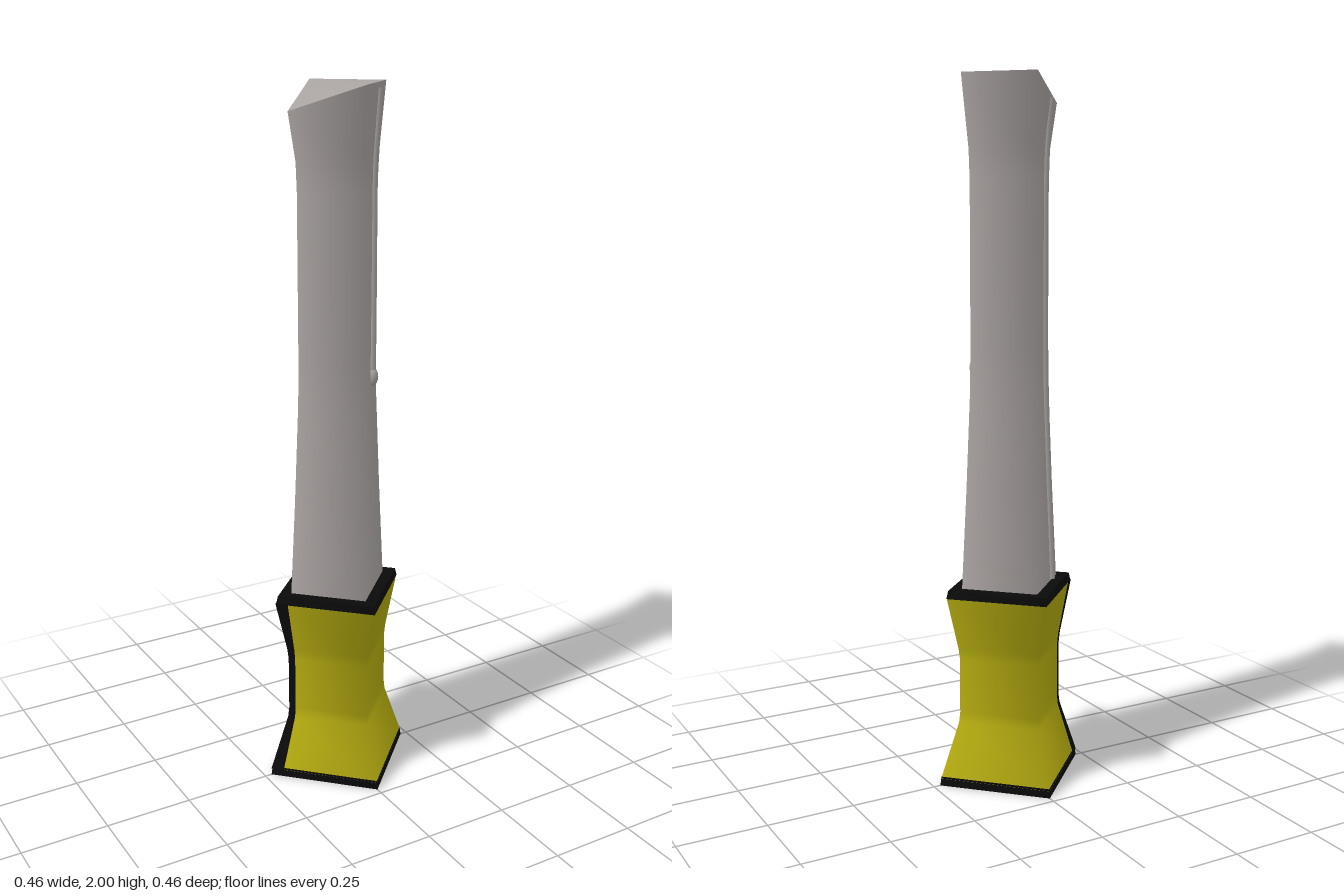
import * as THREE from 'three';

const shaftGrey = new THREE.MeshStandardMaterial({ color: 0xa8a2a0 });
const gripYellow = new THREE.MeshStandardMaterial({ color: 0xb3aa10 });
const trimBlack = new THREE.MeshStandardMaterial({ color: 0x0a0a0a, side: THREE.DoubleSide });

export function createModel() {
  const model = new THREE.Group();

  const add = (name, geometry, material) => {
    const mesh = new THREE.Mesh(geometry, material);
    mesh.name = name;
    model.add(mesh);
    return mesh;
  };
  // Four-sided column with its corners on the x and z axes
  const diamond = (points) =>
    new THREE.LatheGeometry(points.map(([r, y]) => new THREE.Vector2(r, y)), 4);

  // Waisted grip
  const gripProfile = [[0.227, 0.02], [0.168, 0.18], [0.164, 0.21], [0.164, 0.37], [0.168, 0.4], [0.205, 0.555]];
  add('grip', diamond(gripProfile), gripYellow);
  add('gripBase', diamond([[0, 0.001], [0.202, 0.001]]), gripYellow);

  // Dark trim below and above the grip
  add('bottomRim', diamond([[0.2, 0], [0.23, 0]]), trimBlack);
  add('bottomBand', diamond([[0.23, 0], [0.226, 0.026]]), trimBlack);
  add('topBand', diamond([[0.206, 0.553], [0.2, 0.576]]), trimBlack);
  add('topLedge', diamond([[0.2, 0.576], [0.14, 0.576]]), trimBlack);

  // Dark strip wrapped around the right-hand corner of the grip
  const widths = [0.027, 0.015, 0.014, 0.014, 0.015, 0.026];
  const positions = [];
  const indices = [];
  gripProfile.forEach(([r, y], i) => {
    const x = -r - 0.003;
    const w = widths[i];
    positions.push(x + w, y, -w, x, y, 0, x + w, y, w);
    if (i === 0) return;
    for (let k = 0; k < 2; k++) {
      const a = (i - 1) * 3 + k;
      indices.push(a, a + 1, a + 4, a, a + 4, a + 3);
    }
  });
  const strip = new THREE.BufferGeometry();
  strip.setAttribute('position', new THREE.Float32BufferAttribute(positions, 3));
  strip.setIndex(indices);
  strip.computeVertexNormals();
  add('cornerStrip', strip, trimBlack);

  // Shaft, with one top corner lowered
  const shaft = diamond([[0.156, 0.57], [0.14, 0.86], [0.127, 1.14], [0.125, 1.25], [0.125, 1.72], [0.128, 1.8], [0.15, 2]]);
  const p = shaft.attributes.position;
  for (let i = 0; i < p.count; i++) {
    if (p.getY(i) > 1.99 && p.getX(i) < -0.1) p.setY(i, 1.93);
  }
  add('shaft', shaft, shaftGrey);

  // Folded top face
  const top = new THREE.BufferGeometry();
  top.setAttribute('position', new THREE.Float32BufferAttribute(
    [0, 2, 0.15, 0.15, 2, 0, 0, 2, -0.15, -0.15, 1.93, 0], 3));
  top.setIndex([0, 1, 2, 0, 2, 3]);
  top.computeVertexNormals();
  add('topFace', top, shaftGrey);

  // Thin drips running down two opposite faces
  const drip = (name, path, radius) => {
    const curve = new THREE.CatmullRomCurve3(path.map((c) => new THREE.Vector3(...c)));
    add(name, new THREE.TubeGeometry(curve, 24, radius, 8), shaftGrey);
  };
  drip('frontDrip', [[0.098, 1.985, 0.05], [0.094, 1.88, 0.044], [0.092, 1.75, 0.035], [0.091, 1.5, 0.036], [0.088, 1.21, 0.04]], 0.011);
  const bulb = add('frontDripEnd', new THREE.SphereGeometry(0.016, 12, 8), shaftGrey);
  bulb.position.set(0.089, 1.2, 0.041);
  bulb.scale.y = 1.7;
  drip('backDrip', [[-0.108, 1.94, -0.037], [-0.1, 1.86, -0.034], [-0.095, 1.74, -0.031], [-0.095, 1.2, -0.032], [-0.106, 0.86, -0.036], [-0.116, 0.58, -0.041]], 0.011);

  return model;
}
